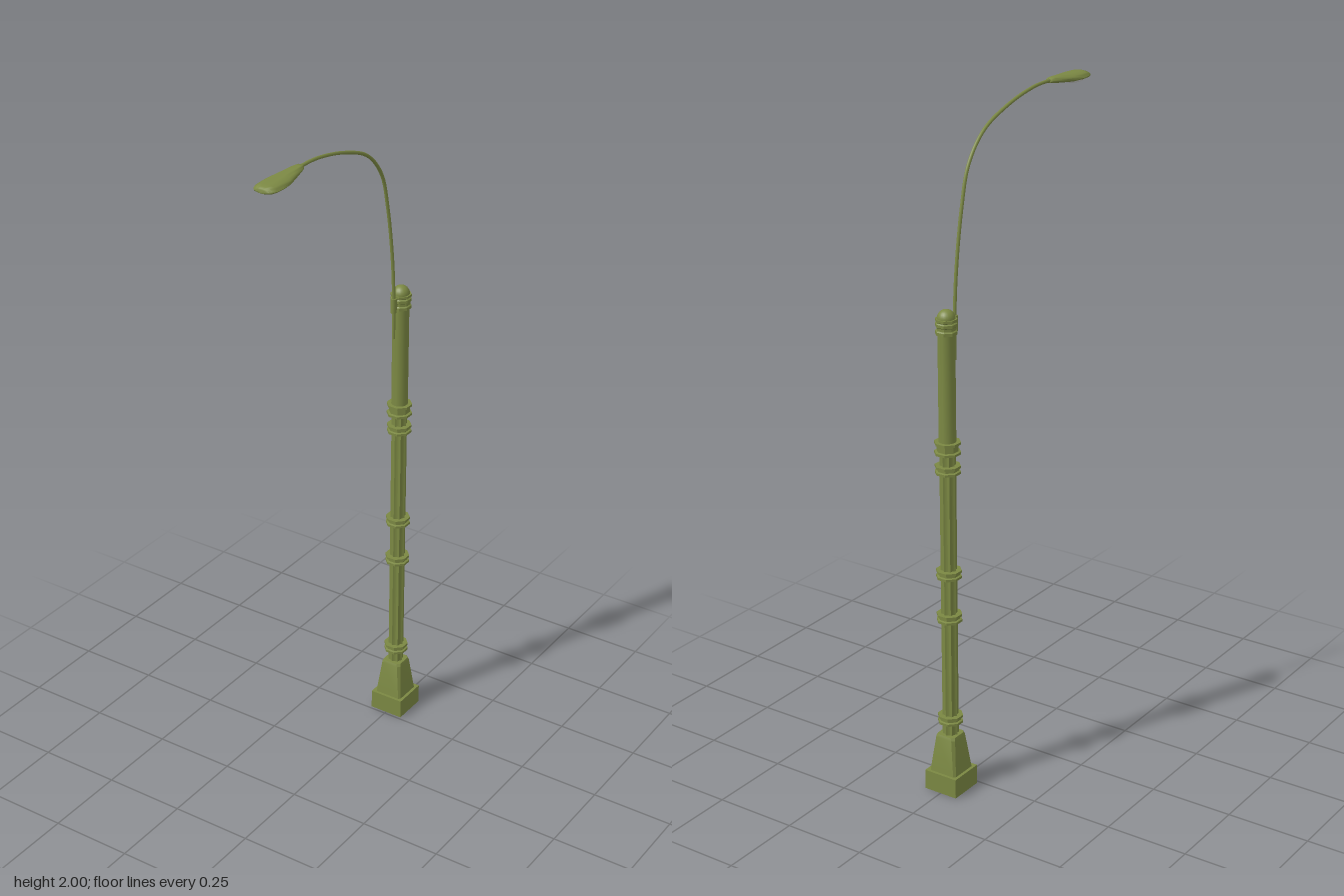
import * as THREE from 'three';
import { toCreasedNormals } from 'three/addons/utils/BufferGeometryUtils.js';

const POLE_Z = -0.312;
const paint = new THREE.MeshStandardMaterial({ color: 0x7b8843, side: THREE.DoubleSide });
const glass = new THREE.MeshStandardMaterial({ color: 0xcccccc, side: THREE.DoubleSide });

function add(parent, name, geometry, material = paint, x = 0, y = 0, z = 0) {
  const mesh = new THREE.Mesh(geometry, material);
  mesh.name = name;
  mesh.position.set(x, y, z);
  parent.add(mesh);
  return mesh;
}

// Skin a list of equal-length rings of [x, y, z], optionally closing the ends
function loft(rings, capStart, capEnd, crease = 0.6) {
  const n = rings[0].length, pos = rings.flat(2), idx = [];
  for (let r = 0; r < rings.length - 1; r++) {
    for (let i = 0; i < n; i++) {
      const a = r * n + i, b = r * n + (i + 1) % n;
      idx.push(a, a + n, b, b, a + n, b + n);
    }
  }
  const cap = (r, flip) => {
    const c = pos.length / 3;
    for (let k = 0; k < 3; k++) pos.push(rings[r].reduce((s, p) => s + p[k], 0) / n);
    for (let i = 0; i < n; i++) {
      const a = r * n + i, b = r * n + (i + 1) % n;
      idx.push(c, flip ? b : a, flip ? a : b);
    }
  };
  if (capStart) cap(0, false);
  if (capEnd) cap(rings.length - 1, true);
  const g = new THREE.BufferGeometry();
  g.setAttribute('position', new THREE.Float32BufferAttribute(pos, 3));
  g.setIndex(idx);
  return toCreasedNormals(g, crease);
}

// Horizontal square ring with chamfered corners
function square(h, c, y) {
  const k = h - c;
  return [[h, k], [k, h], [-k, h], [-h, k], [-h, -k], [-k, -h], [k, -h], [h, -k]]
    .map(([x, z]) => [x, y, -z]);
}

// Fluted circle: eight scooped grooves between narrow ridges
function fluted(y) {
  return Array.from({ length: 64 }, (_, i) => {
    const a = (i / 64) * Math.PI * 2;
    const r = 0.0235 - 0.0045 * Math.abs(Math.sin(a * 4));
    return [r * Math.cos(a), y, -r * Math.sin(a)];
  });
}

function lathe(profile, sides) {
  const g = new THREE.LatheGeometry(profile.map(([r, y]) => new THREE.Vector2(r, y)), sides);
  g.rotateY(Math.PI / sides);
  return toCreasedNormals(g, sides > 8 ? 0.6 : 0.3);
}

// Octagonal band with a projecting flange at each end
function band(h, inner, outer) {
  const f = 0.007;
  return lathe([[0.018, -h], [outer, -h], [outer, -h + f], [inner, -h + f + 0.002],
    [inner, h - f - 0.002], [outer, h - f], [outer, h], [0.018, h]], 8);
}

export function createModel() {
  const model = new THREE.Group();
  model.name = 'streetLamp';
  const pole = new THREE.Group();
  pole.name = 'pole';
  pole.position.z = POLE_Z;
  model.add(pole);

  // Hollow square plinth and tapered pedestal
  add(pole, 'plinth', loft([square(0.054, 0.0003, 0), square(0.054, 0.0003, 0.06),
    square(0.045, 0.006, 0.06)], false, false, 0.3));
  add(pole, 'pedestal', loft([square(0.045, 0.006, 0.06), square(0.033, 0.008, 0.168),
    square(0.030, 0.009, 0.176)], false, true, 0.3));

  // Shafts
  add(pole, 'flutedShaft', loft([fluted(0.17), fluted(1.06)], false, false, 0.5));
  add(pole, 'upperShaft', lathe([[0.0245, 1.05], [0.0245, 1.41]], 20));

  // Decorative bands
  for (const y of [0.225, 0.548, 0.683, 1.0]) {
    add(pole, 'band', band(0.012, 0.031, 0.037), paint, 0, y);
  }
  add(pole, 'wideBand', band(0.018, 0.031, 0.038), paint, 0, 1.064);

  // Top collar and dome
  add(pole, 'topCollar', lathe([[0.02, 1.393], [0.031, 1.393], [0.031, 1.402], [0.027, 1.405],
    [0.027, 1.413], [0.031, 1.416], [0.031, 1.424], [0.027, 1.427], [0.031, 1.43],
    [0.031, 1.437], [0.02, 1.437]], 8));
  add(pole, 'dome', new THREE.SphereGeometry(0.0255, 20, 8, 0, Math.PI * 2, 0, Math.PI / 2),
    paint, 0, 1.437);

  // Bracket holding the arm against the pole
  add(model, 'armBracket', new THREE.BoxGeometry(0.008, 0.036, 0.02), paint, 0, 1.413, -0.28);
  add(model, 'armSleeve', new THREE.CylinderGeometry(0.0085, 0.0085, 0.044, 12),
    paint, 0, 1.413, -0.272);

  // Curved arm
  const path = new THREE.CatmullRomCurve3([
    [-0.274, 1.308], [-0.273, 1.43], [-0.263, 1.563], [-0.236, 1.727], [-0.204, 1.835],
    [-0.135, 1.913], [-0.02, 1.961], [0.11, 1.988], [0.21, 1.991],
  ].map(([z, y]) => new THREE.Vector3(0, y, z)));
  add(model, 'arm', new THREE.TubeGeometry(path, 60, 0.005, 8));
  add(model, 'armEnd', new THREE.CircleGeometry(0.005, 8).rotateX(Math.PI / 2), paint, 0, 1.308, -0.274);

  // Lamp head, rows of: z, half width, top, seam, bottom
  const rows = [
    [0.184, 0.009, 1.996, 1.990, 1.985], [0.188, 0.013, 1.998, 1.989, 1.983],
    [0.2, 0.017, 1.999, 1.988, 1.981], [0.24, 0.026, 1.997, 1.984, 1.976],
    [0.275, 0.034, 1.995, 1.981, 1.972], [0.31, 0.037, 1.994, 1.980, 1.971],
    [0.338, 0.035, 1.993, 1.980, 1.971], [0.352, 0.031, 1.991, 1.980, 1.972],
    [0.359, 0.024, 1.988, 1.980, 1.974], [0.362, 0.016, 1.985, 1.980, 1.976],
  ];
  const section = ([z, w, top, seam, bottom]) => Array.from({ length: 24 }, (_, i) => {
    const a = (i / 24) * Math.PI * 2, s = Math.sin(a);
    return [w * Math.cos(a), seam + s * (s > 0 ? top - seam : seam - bottom), z];
  });
  add(model, 'lampHead', loft(rows.map(section).reverse(), true, true, 0.8));

  // Shallow lens on the underside
  const lens = new THREE.SphereGeometry(1, 24, 8, 0, Math.PI * 2, Math.PI / 2, Math.PI / 2);
  add(model, 'lens', lens, glass, 0, 1.976, 0.311).scale.set(0.03, 0.012, 0.045);
  return model;
}
